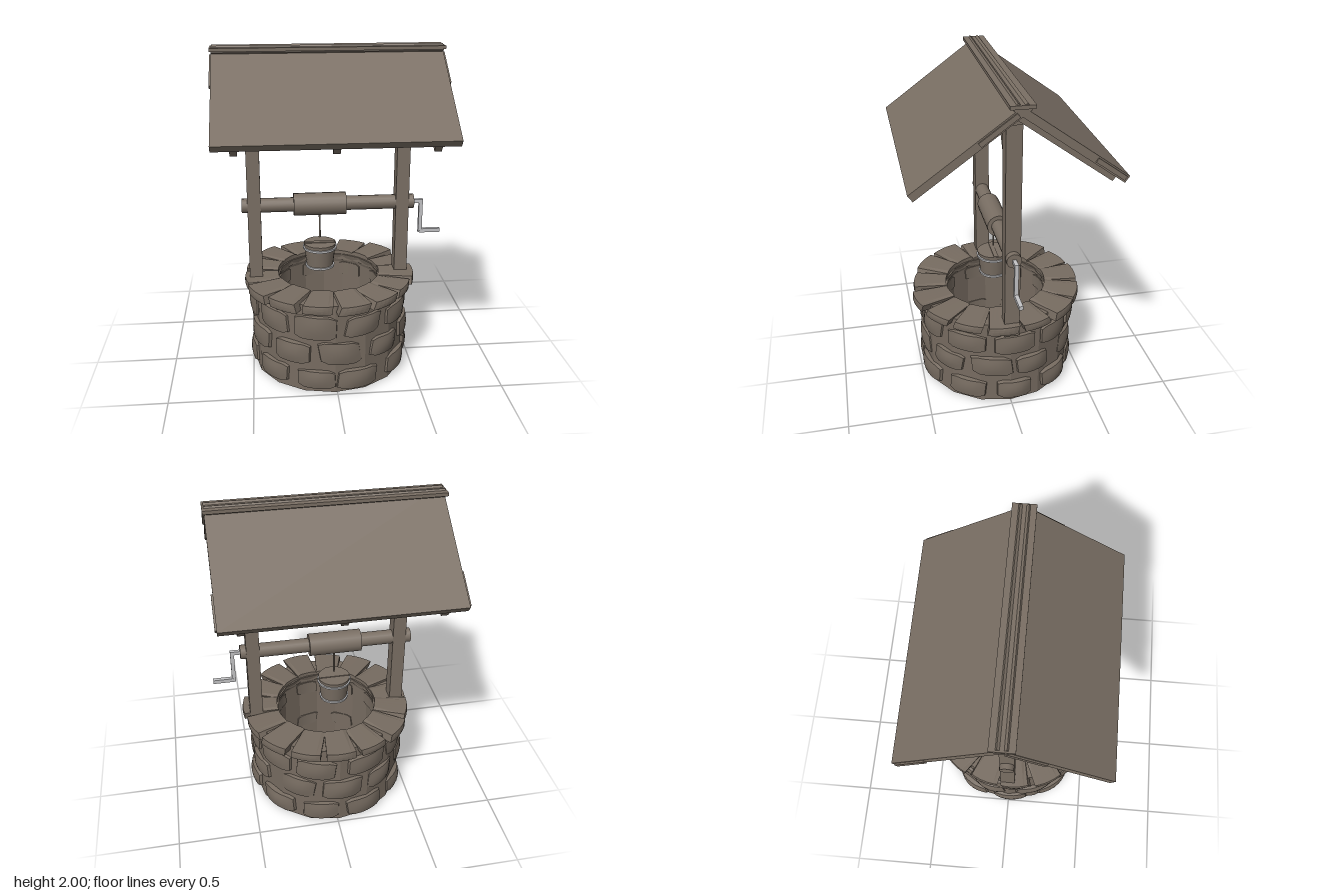
import * as THREE from 'three';

const wood = new THREE.MeshStandardMaterial({ color: 0x7a6f64 });
wood.name = 'weathered wood';
const stoneMat = new THREE.MeshStandardMaterial({ color: 0x776c61 });
stoneMat.name = 'brown stone';
const metal = new THREE.MeshStandardMaterial({ color: 0xc4c4c6 });
metal.name = 'grey metal';

const CX = -0.0125; // centre line of the well and roof

// Small seeded generator for the stone irregularities
let seed = 7;
const rand = (lo, hi) => {
  seed = (seed * 16807) % 2147483647;
  return lo + (hi - lo) * (seed / 2147483647);
};

function add(parent, name, geometry, material, x = 0, y = 0, z = 0) {
  const mesh = new THREE.Mesh(geometry, material);
  mesh.name = name;
  mesh.position.set(x, y, z);
  parent.add(mesh);
  return mesh;
}

function box(parent, name, material, x0, x1, y0, y1, z0, z1) {
  return add(parent, name, new THREE.BoxGeometry(x1 - x0, y1 - y0, z1 - z0), material,
    (x0 + x1) / 2, (y0 + y1) / 2, (z0 + z1) / 2);
}

function flat(geometry) {
  const g = geometry.toNonIndexed();
  g.computeVertexNormals();
  return g;
}

// A box bent around the well, with a bulging outer face and pulled-in edges
function stoneGeometry(angle, width, y0, y1, rIn, rOut, bulge, bevel) {
  const g = new THREE.BoxGeometry(1, 1, 1, 6, 4, 1);
  const p = g.attributes.position;
  const tilt = rand(-0.1, 0.1), skew = rand(-0.12, 0.12);
  for (let i = 0; i < p.count; i++) {
    let u = p.getX(i), v = p.getY(i);
    const outer = p.getZ(i) > 0;
    let r = outer ? rOut : rIn;
    if (outer) {
      r += bulge * (1 - 4 * u * u) * (1 - 2 * v * v);
      u *= 1 - bevel;
      v *= 1 - bevel;
    }
    // trimmed corners
    if (Math.abs(u) > 0.4) v *= 0.78;
    const t = angle + (u + skew * v) * width;
    const y = (y0 + y1) / 2 + (v + tilt * u) * (y1 - y0);
    p.setXYZ(i, r * Math.sin(t), Math.max(0.005, y), r * Math.cos(t));
  }
  g.computeVertexNormals();
  return g;
}

function buildWell() {
  const well = new THREE.Group();
  well.name = 'stoneWell';
  well.position.x = CX;

  // Hollow faceted wall
  const profile = [[0, 0], [0.475, 0], [0.475, 0.57], [0.31, 0.57], [0.33, 0.51], [0.33, 0.03], [0, 0.03]]
    .map(([r, y]) => new THREE.Vector2(r, y));
  add(well, 'wall', flat(new THREE.LatheGeometry(profile, 16)), stoneMat);

  // Three staggered courses of wall stones
  const courses = [[0.02, 0.155], [0.19, 0.33], [0.355, 0.5]];
  const n = 10, pitch = (Math.PI * 2) / n;
  courses.forEach(([y0, y1], row) => {
    for (let i = 0; i < n; i++) {
      const angle = (i + (row % 2 ? 0.05 : 0.55)) * pitch + rand(-0.05, 0.05);
      const g = stoneGeometry(angle, pitch * rand(0.78, 0.95), y0 + rand(-0.012, 0.01), y1 + rand(-0.01, 0.01),
        0.44, rand(0.475, 0.487), rand(0.014, 0.026), 0.12);
      add(well, 'wallStone', g, stoneMat);
    }
  });

  // A few stones showing on the inside of the shaft
  for (const y of [0.14, 0.42]) {
    for (let i = 0; i < 8; i++) {
      add(well, 'innerStone', stoneGeometry((i + 0.3) * Math.PI / 4, 0.45, y, y + 0.09, 0.32, 0.4, 0, 0), stoneMat);
    }
  }

  // Overhanging rim stones
  const m = 15;
  for (let i = 0; i < m; i++) {
    const g = stoneGeometry((i + 0.5) * Math.PI * 2 / m, Math.PI * 2 / m * 1.03, 0.53, rand(0.585, 0.6),
      0.315, rand(0.515, 0.535), 0.008, 0.2);
    add(well, 'rimStone', flat(g), stoneMat);
  }
  return well;
}

function buildFrame() {
  const frame = new THREE.Group();
  frame.name = 'frame';
  frame.position.x = CX;
  box(frame, 'ridgeBeam', wood, -0.54, 0.54, 1.84, 1.91, -0.036, 0.036);
  for (const s of [-1, 1]) {
    box(frame, 'post', wood, s * 0.4525 - 0.04, s * 0.4525 + 0.04, 0.5, 1.86, -0.045, 0.045);
    // Diagonal brace from post to ridge beam
    const brace = add(frame, 'brace', new THREE.BoxGeometry(0.045, 0.5, 0.045), wood, s * 0.305, 1.655, 0);
    brace.rotation.z = s * 0.56;
  }
  return frame;
}

function buildRoof() {
  const roof = new THREE.Group();
  roof.name = 'roof';
  roof.position.set(CX, 1.98, 0);
  for (const front of [true, false]) {
    const side = new THREE.Group();
    side.name = front ? 'frontSlope' : 'backSlope';
    side.rotation.order = 'YXZ';
    side.rotation.set(0.627, front ? 0 : Math.PI, 0);
    box(side, 'roofPanel', wood, -0.6625, 0.6625, -0.044, 0, -0.03, 0.715);
    for (const x of [-0.5425, 0, 0.5425]) {
      box(side, 'rafter', wood, x - 0.02, x + 0.02, -0.088, -0.04, 0.05, 0.71);
    }
    // Short trim boards on the gable ends
    const [a, b] = front ? [0.04, 0.28] : [0.5, 0.7];
    for (const s of [-1, 1]) {
      box(side, 'gableTrim', wood, s * 0.665 - 0.007, s * 0.665 + 0.007, -0.034, -0.008, a, b);
    }
    roof.add(side);
  }
  box(roof, 'ridgeCap', wood, -0.672, 0.672, -0.012, 0.008, -0.066, 0.066);
  return roof;
}

function buildWindlass() {
  const windlass = new THREE.Group();
  windlass.name = 'windlass';
  windlass.position.y = 1.035;
  const roller = (name, x0, x1, r) => {
    const mesh = add(windlass, name, new THREE.CylinderGeometry(r, r, x1 - x0, 16), wood, (x0 + x1) / 2);
    mesh.rotation.z = Math.PI / 2;
  };
  roller('axle', -0.54, 0.515, 0.044);
  roller('drum', -0.225, 0.095, 0.069);
  // Crank handle
  box(windlass, 'crankShaft', metal, 0.51, 0.575, -0.011, 0.011, -0.011, 0.011);
  box(windlass, 'crankArm', metal, 0.552, 0.575, -0.206, 0.011, -0.0115, 0.0115);
  box(windlass, 'crankGrip', metal, 0.56, 0.69, -0.208, -0.184, -0.012, 0.012);
  return windlass;
}

function buildBucket() {
  const bucket = new THREE.Group();
  bucket.name = 'bucket';
  bucket.position.x = -0.065;
  add(bucket, 'rope', new THREE.CylinderGeometry(0.006, 0.006, 0.19, 8), wood, 0, 0.91);
  add(bucket, 'pail', new THREE.CylinderGeometry(0.101, 0.082, 0.155, 16), wood, 0, 0.7025);
  box(bucket, 'lidBatten', wood, -0.095, 0.095, 0.778, 0.785, -0.014, 0.014);
  // Metal hoops
  for (const [y, r] of [[0.752, 0.107], [0.632, 0.092]]) {
    add(bucket, 'hoop', new THREE.CylinderGeometry(r, r - 0.002, 0.014, 20), metal, 0, y);
  }
  return bucket;
}

export function createModel() {
  const model = new THREE.Group();
  model.name = 'wishingWell';
  model.add(buildWell(), buildFrame(), buildRoof(), buildWindlass(), buildBucket());
  return model;
}
